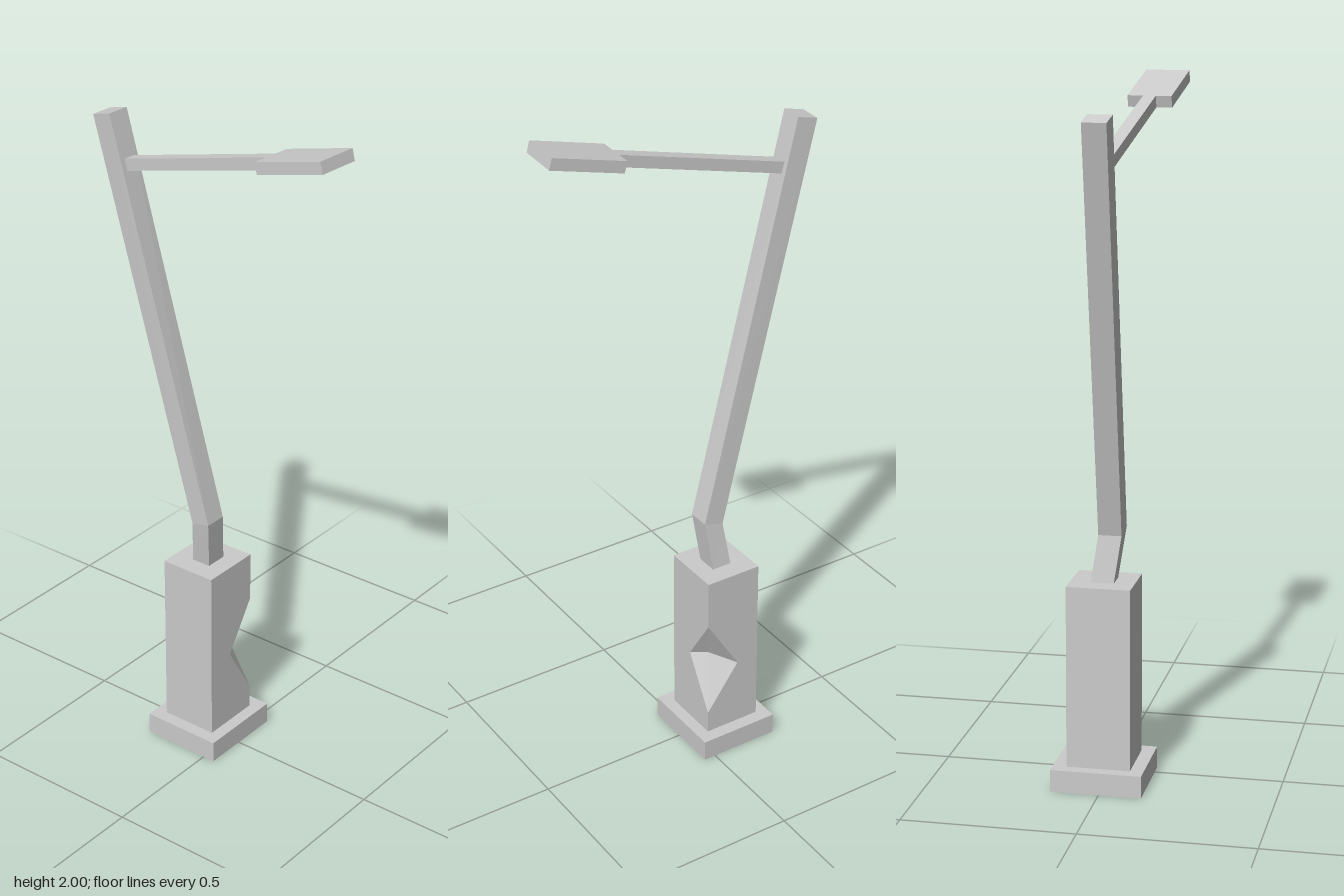
import * as THREE from 'three';

const material = new THREE.MeshStandardMaterial({ color: 0xcccccc, flatShading: true, side: THREE.DoubleSide });

function addMesh(parent, name, geometry) {
  const mesh = new THREE.Mesh(geometry, material);
  mesh.name = name;
  parent.add(mesh);
  return mesh;
}

// Flat polygons (corners counter-clockwise from outside), each fanned from its first corner
function fromPolygons(polygons) {
  const pos = [];
  for (const p of polygons)
    for (let i = 1; i < p.length - 1; i++) pos.push(...p[0], ...p[i], ...p[i + 1]);
  const g = new THREE.BufferGeometry();
  g.setAttribute('position', new THREE.Float32BufferAttribute(pos, 3));
  g.computeVertexNormals();
  return g;
}

// Rectangle ring at height y: front left, front right, back right, back left (as seen from the front)
const ring = (x0, x1, z0, z1, y) => [[x0, y, z1], [x1, y, z1], [x1, y, z0], [x0, y, z0]];

// Side walls between two four-cornered rings
const walls = (a, b) => a.map((p, i) => {
  const j = (i + 1) % 4;
  return [p, a[j], b[j], b[i]];
});

export function createModel() {
  const model = new THREE.Group();
  model.name = 'bentStreetLamp';

  // Hollow foot: outer walls and a top ledge around the pedestal
  const footLow = ring(-0.123, 0.141, -0.211, 0.037, 0);
  const footHigh = ring(-0.123, 0.141, -0.211, 0.037, 0.065);
  const low = ring(-0.084, 0.101, -0.175, 0, 0.065);
  const high = ring(-0.084, 0.101, -0.175, 0, 0.6);
  addMesh(model, 'foot', fromPolygons([...walls(footLow, footHigh), ...walls(footHigh, low)]));

  // Pedestal, open below, with a dent knocked into one front corner
  const dentTop = [0.101, 0.45, 0];
  const dentBottom = [0.101, 0.135, 0];
  const dentFront = [0.003, 0.3, 0];
  const dentSide = [0.101, 0.28, -0.105];
  const dentDeep = [0.045, 0.312, -0.036];
  const rim = [dentFront, dentBottom, dentSide, dentTop];
  addMesh(model, 'pedestal', fromPolygons([
    [dentFront, dentTop, high[1], high[0], low[0], low[1], dentBottom],
    [dentSide, dentBottom, low[1], low[2], high[2], high[1], dentTop],
    ...walls(low, high).slice(2),
    high,
    ...rim.map((p, i) => [dentDeep, p, rim[(i + 1) % 4]]),
  ]));

  // Square pole that kinks forward, then leans far back
  const poleBase = ring(-0.025, 0.042, -0.116, -0.055, 0.6);
  const poleBend = [[-0.047, 0.75, -0.04], [0.021, 0.75, -0.04], [0.023, 0.735, -0.1], [-0.044, 0.735, -0.1]];
  const poleTop = [[-0.072, 1.937, -0.356], [-0.003, 1.937, -0.353], [0, 1.921, -0.415], [-0.068, 1.921, -0.418]];
  addMesh(model, 'pole', fromPolygons([...walls(poleBase, poleBend), ...walls(poleBend, poleTop), poleTop]));

  // Lamp arm and flat head share one tilted frame whose origin is where they meet
  const lamp = new THREE.Group();
  lamp.name = 'lamp';
  lamp.position.set(-0.065, 1.927, 0.191);
  lamp.rotation.set(-0.258, -0.06, 0, 'YXZ');
  model.add(lamp);
  addMesh(lamp, 'arm', new THREE.BoxGeometry(0.037, 0.034, 0.54)).position.z = -0.27;
  addMesh(lamp, 'lampHead', new THREE.BoxGeometry(0.128, 0.034, 0.225)).position.z = 0.1125;

  return model;
}
